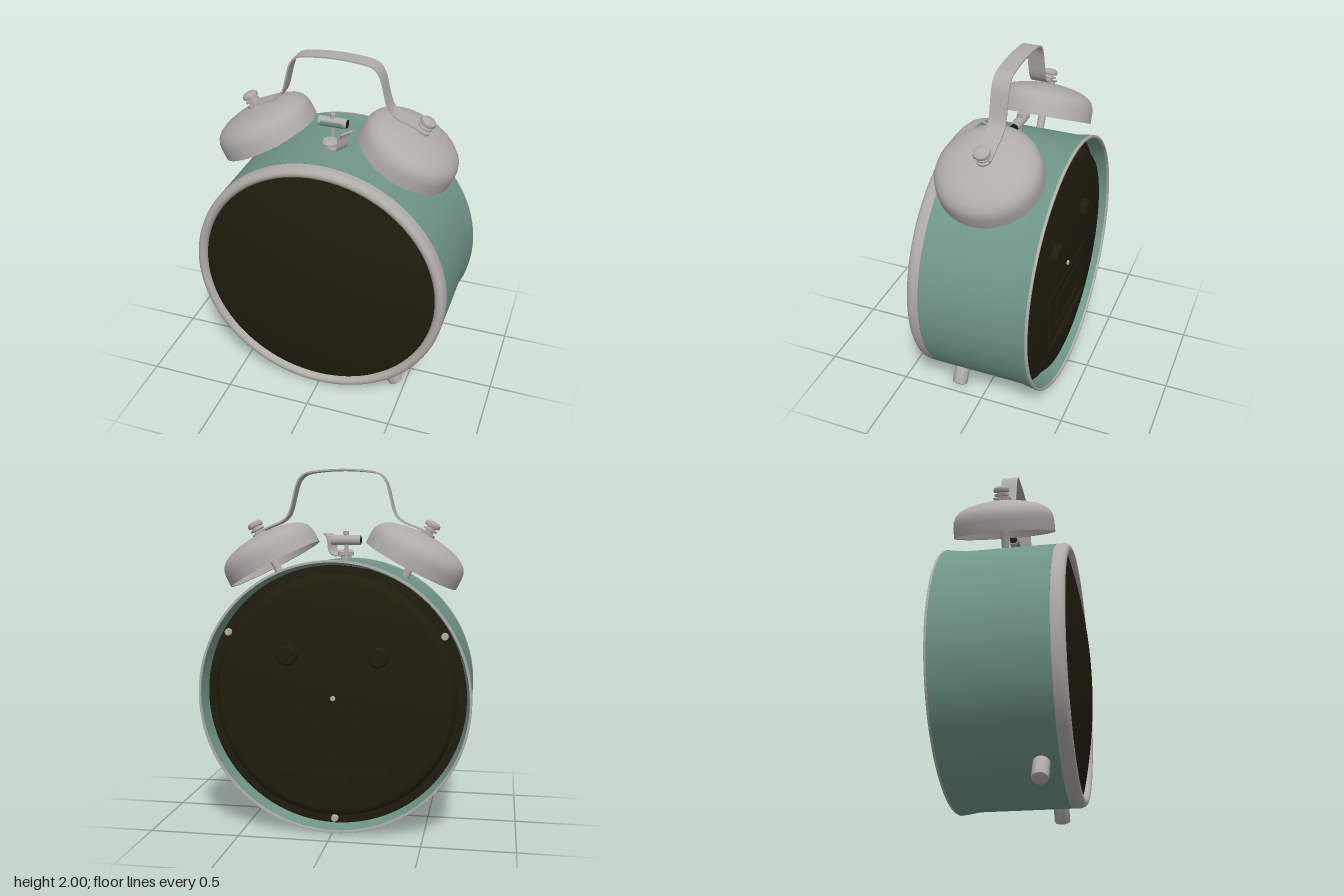
import * as THREE from 'three';
import { toCreasedNormals } from 'three/addons/utils/BufferGeometryUtils.js';

const CY = 0.757; // height of the clock axis
const material = (name, color) => {
  const m = new THREE.MeshStandardMaterial({ color, side: THREE.DoubleSide });
  m.name = name;
  return m;
};

export function createModel() {
  const model = new THREE.Group();
  model.name = 'alarmClock';
  const teal = material('teal enamel', 0x6f9687);
  const metal = material('brushed metal', 0xb0aca8);
  const dark = material('dark olive', 0x1f1d0c);

  const add = (parent, name, geo, mat, x = 0, y = 0, z = 0) => {
    const mesh = new THREE.Mesh(geo, mat);
    mesh.name = name;
    mesh.position.set(x, y, z);
    parent.add(mesh);
    return mesh;
  };
  const lathe = (pts, seg = 72) =>
    toCreasedNormals(new THREE.LatheGeometry(pts.map(p => new THREE.Vector2(...p)), seg), 0.6);
  // Turned part lying along the z axis of the clock
  const turned = (name, pts, mat) => add(model, name, lathe(pts, 96).rotateX(Math.PI / 2), mat, 0, CY, 0);
  // Bent metal strip: a smooth path given thickness, then extruded along z
  const ribbon = (pts, thick, width) => {
    const curve = new THREE.CatmullRomCurve3(pts.map(p => new THREE.Vector3(p[0], p[1], 0)), false, 'centripetal');
    const a = [], b = [];
    for (let i = 0; i <= 80; i++) {
      const p = curve.getPointAt(i / 80), t = curve.getTangentAt(i / 80);
      a.push(new THREE.Vector2(p.x, p.y));
      b.unshift(new THREE.Vector2(p.x + t.y * thick, p.y - t.x * thick));
    }
    const geo = new THREE.ExtrudeGeometry(new THREE.Shape([...a, ...b]), { depth: width, bevelEnabled: false });
    return toCreasedNormals(geo.translate(0, 0, -width / 2), 0.6);
  };

  // Case: recessed inner wall at the back, flared rear lip, straight drum
  turned('case', [[0.72, -0.24], [0.725, -0.28], [0.742, -0.368], [0.752, -0.368],
    [0.749, -0.34], [0.74, -0.28], [0.738, -0.26], [0.738, 0.255], [0.68, 0.255]], teal);
  turned('rearRim', [[0.739, -0.362], [0.74, -0.375], [0.751, -0.375], [0.753, -0.37], [0.753, -0.362]], metal);

  // Front bezel and domed lens
  turned('bezel', [[0.70, 0.25], [0.732, 0.25], [0.738, 0.258], [0.738, 0.295], [0.733, 0.313], [0.723, 0.325],
    [0.71, 0.33], [0.698, 0.328], [0.688, 0.32], [0.682, 0.308], [0.68, 0.285]], metal);
  const dome = [];
  for (let i = 0; i <= 16; i++) {
    const r = 0.685 * (1 - i / 16);
    dome.push([r, 0.385 - 0.188 * r * r]);
  }
  turned('lens', dome, dark);

  // Back panel with raised middle
  turned('backPanel', [[0, -0.345], [0.62, -0.345], [0.645, -0.34], [0.66, -0.325], [0.668, -0.295],
    [0.675, -0.285], [0.722, -0.28]], dark);
  const disc = (r, h) => lathe([[0, -h], [r * 0.85, -h], [r, -h * 0.75], [r, 0]], 32).rotateX(Math.PI / 2);
  for (const s of [-1, 1]) add(model, 'settingKnob', disc(0.055, 0.042), dark, s * 0.25, 0.99, -0.343);
  add(model, 'centrePin', disc(0.014, 0.012), metal, 0, CY, -0.344);
  for (let i = 0; i < 3; i++) {
    const a = -Math.PI / 2 + i * Math.PI * 2 / 3;
    add(model, 'panelScrew', disc(0.02, 0.025), metal, 0.692 * Math.cos(a), CY + 0.692 * Math.sin(a), -0.282);
  }

  // Battery cover with inset frame, ledge and latch
  const box = (name, w, h, d, x, y, z) => add(model, name, new THREE.BoxGeometry(w, h, d), dark, x, y, z);
  box('batteryCover', 0.63, 0.37, 0.012, 0, 0.515, -0.345);
  for (const s of [-1, 1]) {
    box('coverFrameSide', 0.01, 0.2, 0.008, s * 0.2, 0.535, -0.353);
    box('coverFrameBar', 0.41, 0.01, 0.008, 0, 0.535 + s * 0.095, -0.353);
  }
  box('coverLedge', 0.63, 0.025, 0.022, 0, 0.34, -0.35);
  box('coverLatch', 0.18, 0.05, 0.022, 0, 0.305, -0.354);

  // Bells on radial posts, each with a stepped nut on top
  for (const s of [-1, 1]) {
    const bell = new THREE.Group();
    bell.name = s > 0 ? 'leftBell' : 'rightBell';
    bell.position.set(s * 0.39, 1.467, -0.037);
    bell.rotation.z = -s * 0.485;
    model.add(bell);
    add(bell, 'bellShell', lathe([[0.278, 0.002], [0.285, 0], [0.284, 0.06], [0.28, 0.09], [0.268, 0.117], [0.245, 0.139],
      [0.205, 0.16], [0.15, 0.176], [0.08, 0.188], [0, 0.192]], 64), metal);
    add(bell, 'bellPost', new THREE.CylinderGeometry(0.022, 0.022, 0.3, 20), metal, 0, 0.04, 0);
    add(bell, 'bellNut', lathe([[0, 0.19], [0.042, 0.19], [0.042, 0.203], [0.024, 0.206], [0.024, 0.217], [0.04, 0.219],
      [0.04, 0.229], [0.026, 0.231], [0.026, 0.239], [0.042, 0.241], [0.045, 0.25], [0.043, 0.262], [0.03, 0.272], [0, 0.276]], 32), metal);
  }

  // Carrying handle strap
  const half = [[0.5, 1.648], [0.42, 1.683], [0.35, 1.712], [0.315, 1.74], [0.297, 1.775],
    [0.28, 1.84], [0.26, 1.915], [0.24, 1.953], [0.21, 1.977], [0.17, 1.988]];
  const path = [...half.map(p => [-p[0], p[1]]), [0, 2], ...half.slice().reverse()];
  add(model, 'handle', ribbon(path, 0.009, 0.095), metal, 0, 0, -0.037);

  // Hammer between the bells
  const hammer = new THREE.Group();
  hammer.name = 'hammer';
  hammer.position.set(-0.022, 1.607, -0.037);
  model.add(hammer);
  add(hammer, 'hammerHead', new THREE.CylinderGeometry(0.028, 0.028, 0.165, 24).rotateZ(Math.PI / 2), metal);
  add(hammer, 'hammerStem', new THREE.CylinderGeometry(0.012, 0.012, 0.17, 16), metal, 0, -0.035, 0);
  add(hammer, 'hammerPin', new THREE.CylinderGeometry(0.015, 0.015, 0.03, 16), metal, 0, 0.035, 0);
  for (const s of [-1, 1])
    add(hammer, 'hammerEnd', new THREE.CylinderGeometry(0.023, 0.023, 0.004, 24).rotateZ(Math.PI / 2), dark, s * 0.083, 0, 0);
  const band = new THREE.CylinderGeometry(0.0295, 0.0295, 0.13, 16, 1, true, -0.7, 1.4);
  add(hammer, 'hammerBand', band.rotateZ(Math.PI / 2).rotateX(0.35), teal);

  // Alarm stop lever: round pivot and a curled leaf
  const lever = new THREE.Group();
  lever.name = 'stopLever';
  lever.position.set(-0.004, 0, 0.06);
  lever.rotation.y = -0.5;
  model.add(lever);
  add(lever, 'leverPivot', lathe([[0.03, 1.47], [0.03, 1.515], [0.046, 1.518], [0.046, 1.538], [0.036, 1.55], [0, 1.554]], 32), metal);
  add(lever, 'leverLeaf', ribbon([[0, 1.524], [0.05, 1.52], [0.08, 1.53], [0.095, 1.56], [0.1, 1.6], [0.112, 1.63], [0.13, 1.643]], 0.009, 0.08), metal);

  // Front feet, splayed radially
  for (const s of [-1, 1]) {
    const foot = add(model, s > 0 ? 'leftFoot' : 'rightFoot',
      lathe([[0, -0.857], [0.03, -0.857], [0.041, -0.852], [0.045, -0.842], [0.045, -0.7]], 32), metal, 0, CY, 0.16);
    foot.rotation.z = s * 0.56;
  }
  return model;
}
